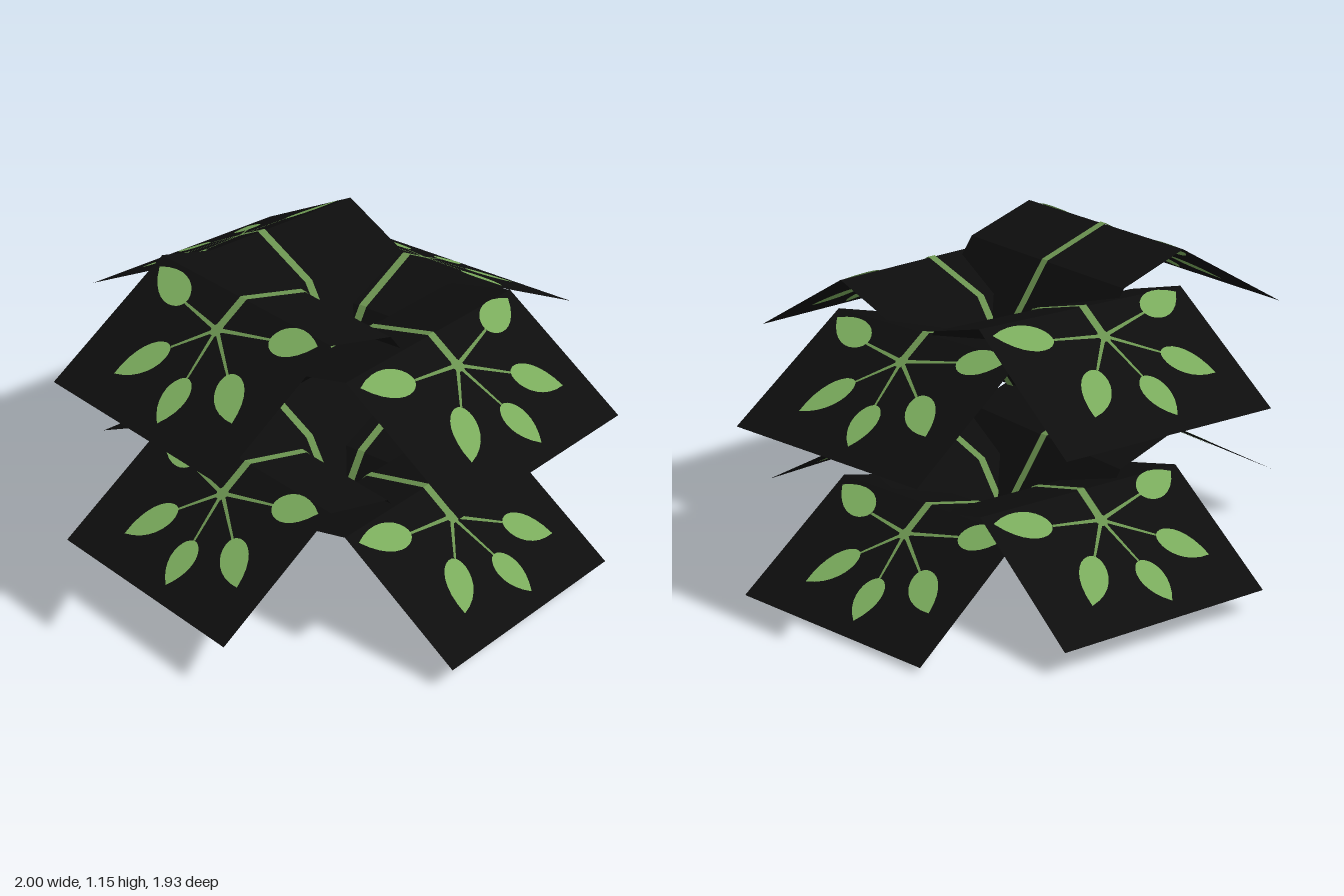
import * as THREE from 'three';
import { mergeGeometries } from 'three/addons/utils/BufferGeometryUtils.js';

const material = (name, color) => {
  const m = new THREE.MeshStandardMaterial({ color, side: THREE.DoubleSide });
  m.name = name;
  return m;
};

// Bent frond profile: [distance from the centre, height relative to the top fold]
const PROFILE = [[0, -0.307], [0.16, -0.086], [0.437, 0], [0.937, -0.293]];
const HUB = 0.56, WIDTH = 0.828, LIFT = 0.005;

// Leaflets as base and tip, [across, outward] from the hub
const LEAFLETS = [
  [[-0.185, -0.025], [-0.385, -0.085]],
  [[-0.107, 0.112], [-0.225, 0.265]],
  [[0.036, 0.167], [0.062, 0.325]],
  [[0.16, 0.10], [0.305, 0.215]],
  [[0.202, -0.05], [0.377, -0.10]],
];

function heightAt(r) {
  let i = 0;
  while (i < PROFILE.length - 2 && r > PROFILE[i + 1][0]) i++;
  const [r0, y0] = PROFILE[i], [r1, y1] = PROFILE[i + 1];
  return y0 + (y1 - y0) * (r - r0) / (r1 - r0);
}

// Lays a flat shape, drawn with y pointing inward, onto the bent profile
function drape(geometry, lift) {
  const g = geometry.index ? geometry.toNonIndexed() : geometry.clone();
  const p = g.attributes.position;
  for (let i = 0; i < p.count; i++) {
    const r = -p.getY(i);
    p.setXYZ(i, p.getX(i), heightAt(r) + lift, r);
  }
  g.computeVertexNormals();
  return g;
}

// Flat strip along the profile, with a row of vertices at every fold
function ribbon(width, end) {
  const rows = PROFILE.map(q => q[0]).filter(r => r < end).concat(end);
  const g = new THREE.PlaneGeometry(width, 1, 1, rows.length - 1);
  const p = g.attributes.position;
  for (let i = 0; i < p.count; i++) p.setY(i, -rows[i >> 1]);
  return g;
}

// Turns local length and width into hub coordinates along a line
function along(from, to) {
  const a = new THREE.Vector2(from[0], -HUB - from[1]);
  const d = new THREE.Vector2(to[0], -HUB - to[1]).sub(a);
  const n = new THREE.Vector2(-d.y, d.x).normalize();
  return (t, w) => [a.x + d.x * t + n.x * w, a.y + d.y * t + n.y * w];
}

// Teardrop leaflet, broad near its base and pointed at its tip
function leaflet([base, tip]) {
  const at = along(base, tip);
  const s = new THREE.Shape();
  s.moveTo(...at(0, 0));
  s.bezierCurveTo(...at(0.02, 0.045), ...at(0.5, 0.085), ...at(1, 0));
  s.bezierCurveTo(...at(0.5, -0.085), ...at(0.02, -0.045), ...at(0, 0));
  return new THREE.ShapeGeometry(s, 10);
}

// Thin stalk between the hub and a leaflet
function stalk([base]) {
  const at = along([0, 0], base);
  return new THREE.ShapeGeometry(new THREE.Shape(
    [at(0, -0.007), at(1, -0.004), at(1, 0.004), at(0, 0.007)].map(q => new THREE.Vector2(...q))));
}

export function createModel() {
  const model = new THREE.Group();
  model.name = 'plant';
  const black = material('black', 0x0d0d0d);
  const leafGreen = material('leaf green', 0x7aab5c);
  const stemGreen = material('stem green', 0x6a924f);

  // Painted details appear on both faces of each panel
  const bothSides = list => mergeGeometries(
    [LIFT, -LIFT].flatMap(lift => list.map(g => drape(g, lift))));
  const hub = new THREE.CircleGeometry(0.025, 6).translate(0, -HUB, 0);
  const panelGeometry = drape(ribbon(WIDTH, 0.937), 0);
  const leafGeometry = bothSides(LEAFLETS.map(leaflet));
  const stemGeometry = bothSides([ribbon(0.03, HUB), hub, ...LEAFLETS.map(stalk)]);

  // Outward direction [x, z] and fold height in the upper and lower tiers
  const fronds = [
    ['front', -0.17, 0.985, 1.144, 0.476],
    ['right', -0.962, -0.272, 1.042, 0.375],
    ['left', 0.989, 0.145, 1.003, 0.373],
    ['back', 0, -1, 0.938, 0.307],
  ];
  ['upper', 'lower'].forEach((tier, t) => {
    for (const [side, dx, dz, ...heights] of fronds) {
      const frond = new THREE.Group();
      frond.name = `${tier} ${side} frond`;
      for (const [name, geometry, mat] of [
        ['panel', panelGeometry, black],
        ['leaflets', leafGeometry, leafGreen],
        ['stem', stemGeometry, stemGreen],
      ]) {
        const mesh = new THREE.Mesh(geometry, mat);
        mesh.name = name;
        frond.add(mesh);
      }
      frond.position.set(0.008, heights[t], -0.037);
      frond.rotation.y = Math.atan2(dx, dz);
      model.add(frond);
    }
  });
  return model;
}
